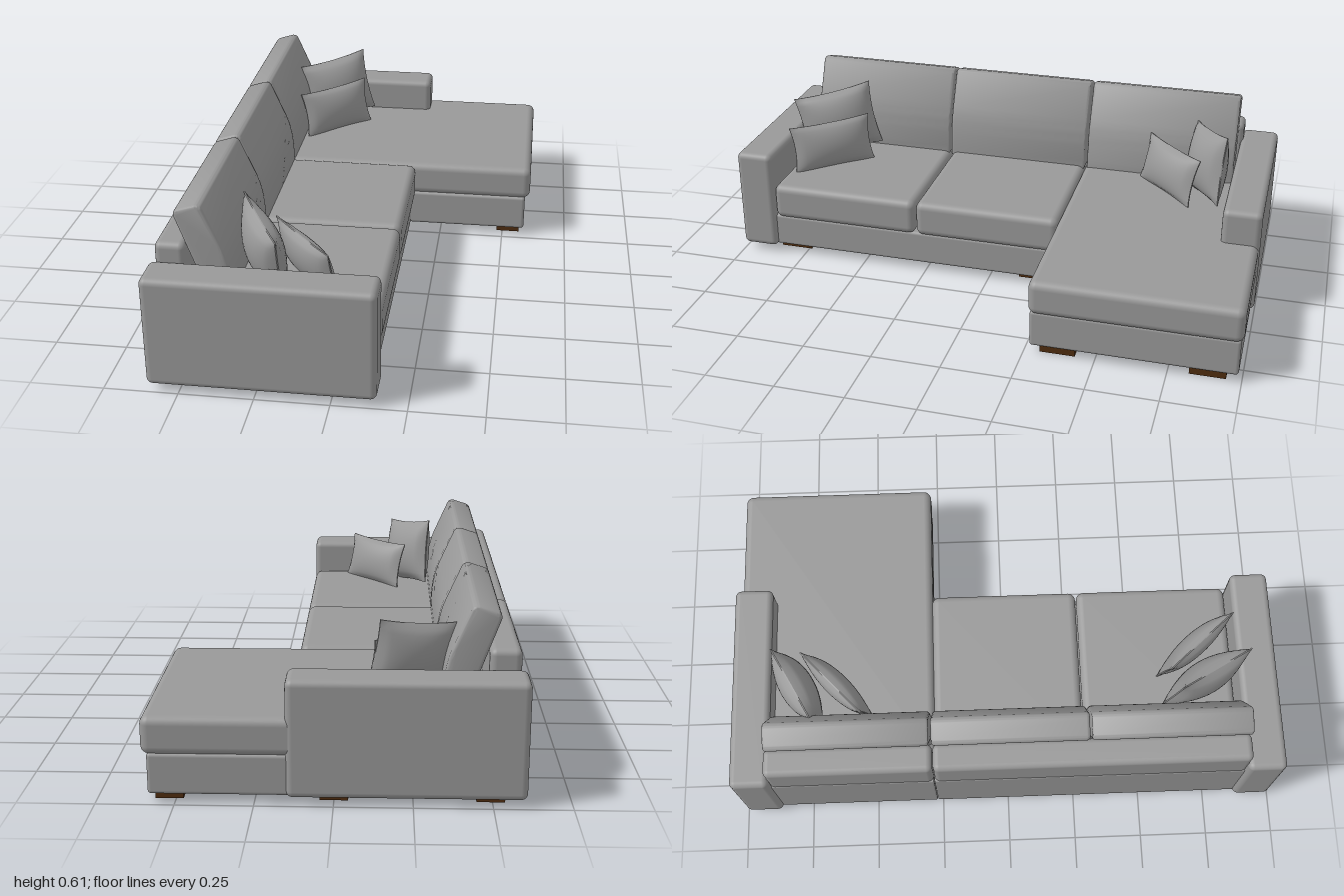
import * as THREE from 'three';
import { toCreasedNormals } from 'three/addons/utils/BufferGeometryUtils.js';
import { RoundedBoxGeometry } from 'three/addons/geometries/RoundedBoxGeometry.js';

export function createModel() {
  const model = new THREE.Group();
  model.name = 'cornerSofa';
  const fabric = new THREE.MeshStandardMaterial({ color: 0x999999 });
  fabric.name = 'grey fabric';
  const wood = new THREE.MeshStandardMaterial({ color: 0x4f2d10 });
  wood.name = 'dark wood';

  function add(name, geometry, material = fabric) {
    const mesh = new THREE.Mesh(geometry, material);
    mesh.name = name;
    model.add(mesh);
    return mesh;
  }

  // Soft-edged block given by its limits on each axis
  function block(name, [x0, x1], [y0, y1], [z0, z1], radius) {
    const mesh = add(name, new RoundedBoxGeometry(x1 - x0, y1 - y0, z1 - z0, 4, radius));
    mesh.position.set((x0 + x1) / 2, (y0 + y1) / 2, (z0 + z1) / 2);
  }

  // Armrests at both ends
  block('frontArmrest', [-0.607, 0.15], [0.025, 0.415], [0.86, 1], 0.022);
  block('rearArmrest', [-0.607, 0.15], [0.025, 0.415], [-1, -0.86], 0.022);

  // Bases
  block('sofaBase', [-0.59, 0.13], [0.03, 0.158], [-0.268, 0.87], 0.012);
  block('chaiseBase', [-0.59, 0.585], [0.03, 0.167], [-0.988, -0.27], 0.012);

  // Back frame: lower panel and top rail for each section
  for (const [section, z] of [['sofa', [-0.269, 0.87]], ['chaise', [-0.87, -0.271]]]) {
    block(section + 'BackPanel', [-0.59, -0.485], [0.03, 0.325], z, 0.006);
    block(section + 'BackRail', [-0.587, -0.485], [0.3, 0.48], z, 0.022);
  }

  // Seat cushions
  block('frontSeatCushion', [-0.48, 0.148], [0.155, 0.292], [0.287, 0.857], 0.028);
  block('middleSeatCushion', [-0.48, 0.148], [0.155, 0.292], [-0.268, 0.283], 0.028);
  block('chaiseCushion', [-0.48, 0.603], [0.163, 0.29], [-0.996, -0.266], 0.028);

  // Leaning back cushions, a side profile extruded along z
  const bevel = 0.012;
  const profile = new THREE.Shape();
  profile.moveTo(-0.43, 0.29);
  profile.lineTo(-0.352, 0.29);
  profile.quadraticCurveTo(-0.352, 0.41, -0.382, 0.475);
  profile.lineTo(-0.435, 0.595);
  profile.quadraticCurveTo(-0.439, 0.604, -0.449, 0.602);
  profile.lineTo(-0.5, 0.586);
  profile.quadraticCurveTo(-0.511, 0.582, -0.508, 0.572);
  profile.lineTo(-0.445, 0.4);
  profile.closePath();
  for (const [name, z0, z1] of [
    ['frontBackCushion', 0.293, 0.857],
    ['middleBackCushion', -0.268, 0.286],
    ['chaiseBackCushion', -0.852, -0.277],
  ]) {
    const geometry = new THREE.ExtrudeGeometry(profile, {
      depth: z1 - z0 - 2 * bevel, bevelEnabled: true, bevelSize: bevel,
      bevelThickness: bevel, bevelSegments: 4, curveSegments: 8,
    });
    add(name, toCreasedNormals(geometry, 0.7)).position.z = z0 + bevel;
  }

  // Throw pillow: a panel puffed in the middle, with edges drawn in between the corners
  function pillow(name, width, height, thickness, position, yaw, lean, roll) {
    const geometry = new THREE.BoxGeometry(2, 2, 2, 16, 16, 1);
    const p = geometry.attributes.position;
    for (let i = 0; i < p.count; i++) {
      const u = p.getX(i), v = p.getY(i);
      const puff = Math.pow(Math.max(0, (1 - u * u) * (1 - v * v)), 0.6);
      p.setXYZ(i,
        u * width / 2 * (1 - 0.07 * (1 - v * v)),
        v * height / 2 * (1 - 0.07 * (1 - u * u)),
        Math.sign(p.getZ(i)) * (0.002 + puff * thickness / 2));
    }
    geometry.computeVertexNormals();
    const mesh = add(name, geometry);
    mesh.position.set(...position);
    mesh.rotation.set(-lean, yaw, roll, 'YXZ');
  }
  pillow('frontLargePillow', 0.31, 0.26, 0.12, [-0.255, 0.415, 0.735], 2.08, 0.15, 0.16);
  pillow('frontSmallPillow', 0.33, 0.185, 0.08, [-0.115, 0.375, 0.71], 2.28, 0.25, 0.02);
  pillow('rearLargePillow', 0.29, 0.26, 0.12, [-0.24, 0.415, -0.76], 0.48, 0.15, 0.16);
  pillow('rearSmallPillow', 0.32, 0.185, 0.08, [-0.225, 0.375, -0.62], 0.75, 0.25, 0.02);

  // Low wooden feet
  const footGeometry = new THREE.BoxGeometry(0.09, 0.034, 0.125);
  for (const [x, z] of [
    [0.522, -0.885], [0.0, -0.885], [-0.495, -0.885], [0.522, -0.367],
    [0.04, -0.172], [0.04, 0.803], [-0.495, 0.803],
  ]) {
    add('foot', footGeometry, wood).position.set(x, 0.017, z);
  }

  return model;
}
